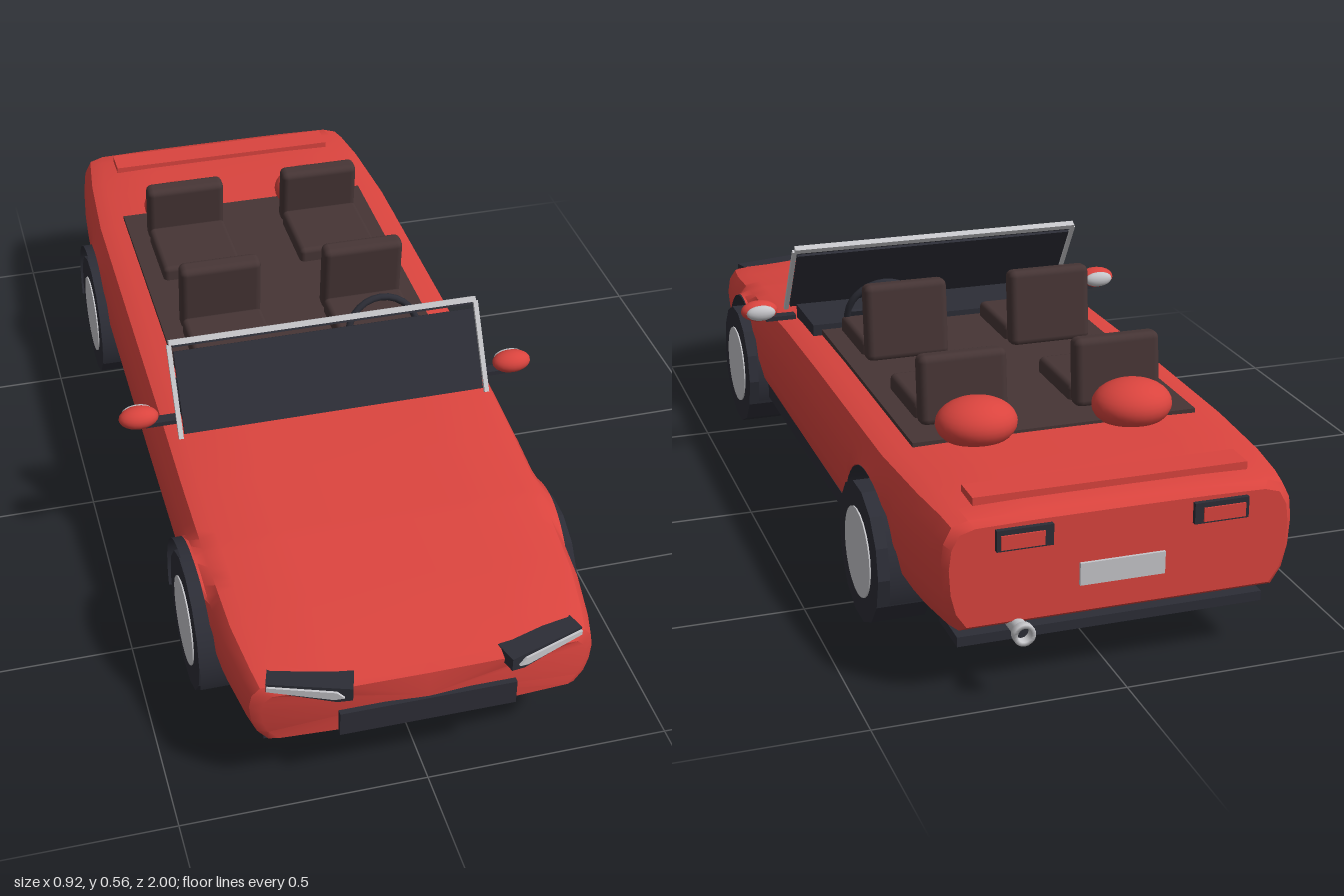
import * as THREE from 'three';
import { toCreasedNormals } from 'three/addons/utils/BufferGeometryUtils.js';
import { RoundedBoxGeometry } from 'three/addons/geometries/RoundedBoxGeometry.js';

const material = (name, color, side = THREE.FrontSide) => {
  const m = new THREE.MeshStandardMaterial({ color, side });
  m.name = name;
  return m;
};
const red = material('red paint', 0xda443e);
const dark = material('dark trim', 0x2c2d36, THREE.DoubleSide);
const brown = material('brown leather', 0x463535);
const silver = material('silver', 0xc6c6ca);

const AXLES = [0.59, -0.56], AXLE_Y = 0.15, ARCH_R = 0.17;

// Body stations: z, half width, top, bottom
const STATIONS = [
  [0.98, 0.325, 0.272, 0.155], [0.967, 0.345, 0.287, 0.145], [0.9, 0.355, 0.3, 0.14],
  [0.8, 0.37, 0.317, 0.135], [0.6, 0.38, 0.343, 0.13], [0.4, 0.384, 0.36, 0.13],
  [0.2, 0.385, 0.374, 0.13], [-0.1, 0.385, 0.38, 0.13], [-0.6, 0.383, 0.38, 0.13],
  [-0.8, 0.37, 0.38, 0.135], [-0.9, 0.357, 0.377, 0.14], [-0.945, 0.35, 0.37, 0.148],
  [-0.958, 0.338, 0.357, 0.158],
];
// Half section from top centre to bottom centre: width and height fractions
const SECTION = [[0, 1], [0.5, 0.998], [0.85, 0.985], [0.94, 0.94], [0.985, 0.8],
  [1, 0.6], [0.99, 0.35], [0.96, 0.15], [0.9, 0], [0, 0]];

function stationAt(z) {
  let i = 0;
  while (i < STATIONS.length - 2 && z < STATIONS[i + 1][0]) i++;
  const a = STATIONS[i], b = STATIONS[i + 1], k = (z - a[0]) / (b[0] - a[0]);
  return a.map((v, n) => v + (b[n] - v) * k);
}

function archHeight(z) {
  for (const c of AXLES) {
    const d = Math.abs(z - c);
    if (d <= ARCH_R + 1e-6) return AXLE_Y + Math.sqrt(Math.max(0, ARCH_R ** 2 - d * d));
  }
  return 0;
}

// Lofted shell whose underside follows the wheel arches
function bodyGeometry() {
  const zs = STATIONS.map(s => s[0]);
  for (const c of AXLES) {
    for (let i = 0; i <= 20; i++) zs.push(c + ARCH_R * Math.cos(i * Math.PI / 20));
    zs.push(c + ARCH_R + 0.0005, c - ARCH_R - 0.0005);
  }
  zs.sort((a, b) => b - a);
  const rows = zs.map(stationAt);
  rows.unshift([0.98, 0, 0.215, 0.215]);
  rows.push([-0.958, 0, 0.25, 0.25]);
  const ring = [...SECTION, ...SECTION.slice(1, -1).reverse().map(([u, v]) => [-u, v])];
  const n = ring.length, pos = [], paint = [], under = [];
  for (const [z, w, t, b] of rows) {
    const nose = Math.max(0, (z - 0.9) / 0.08) * 0.03;
    for (const [u, v] of ring) {
      const x = u * w;
      pos.push(x, Math.max(b + (t - b) * v, archHeight(z)), z - nose * (x / 0.345) ** 4);
    }
  }
  for (let i = 0; i < rows.length - 1; i++) {
    const inside = rows[i][0] < 0.77 && rows[i + 1][0] > -0.74;
    for (let j = 0; j < n; j++) {
      const k = (j + 1) % n, a = i * n + j, b = i * n + k;
      const list = inside && (j === 8 || j === 9) ? under : paint;
      list.push(a, b, a + n, b, b + n, a + n);
    }
  }
  const g = new THREE.BufferGeometry();
  g.setAttribute('position', new THREE.Float32BufferAttribute(pos, 3));
  g.setIndex([...paint, ...under]);
  g.addGroup(0, paint.length, 0);
  g.addGroup(paint.length, under.length, 1);
  return toCreasedNormals(g, 0.65);
}

export function createModel() {
  const car = new THREE.Group();
  car.name = 'convertibleCar';
  const add = (name, geo, mat, x = 0, y = 0, z = 0, parent = car) => {
    const m = new THREE.Mesh(geo, mat);
    m.name = name;
    m.position.set(x, y, z);
    parent.add(m);
    return m;
  };
  const box = (w, h, d) => new THREE.BoxGeometry(w, h, d);
  const axial = (r, len, sides) => new THREE.CylinderGeometry(r, r, len, sides).rotateZ(Math.PI / 2);

  add('body', bodyGeometry(), [red, dark]);
  add('floorPan', box(0.72, 0.035, 0.8), dark, 0, 0.1325, 0.015);
  add('frontLip', box(0.62, 0.012, 0.09), dark, 0, 0.109, 0.865);
  add('rearLip', box(0.62, 0.02, 0.11), dark, 0, 0.11, -0.865);
  add('tailSpoiler', box(0.55, 0.02, 0.065), red, 0, 0.38, -0.87);

  // Wheels and arch liners
  for (const z of AXLES) {
    const liner = new THREE.CylinderGeometry(0.168, 0.168, 0.785, 28, 1, true, -1.86, 3.72);
    liner.rotateX(-Math.PI / 2).rotateY(Math.PI / 2);
    add('archLiner', liner, dark, -0.01, AXLE_Y, z);
    for (const s of [-1, 1]) {
      add('tyre', toCreasedNormals(axial(0.145, 0.11, 14), 0.3), dark, s * 0.345, 0.146, z);
      add('hub', axial(0.093, 0.116, 24), silver, s * 0.345, 0.146, z);
    }
  }

  // Cockpit
  add('cockpitFloor', box(0.6, 0.02, 0.73), brown, 0, 0.376, -0.245);
  add('dashboard', box(0.64, 0.035, 0.16), dark, 0, 0.381, 0.18);
  for (const s of [-1, 1]) {
    for (const [z, h] of [[0, 0.17], [-0.395, 0.145]]) {
      const seat = new THREE.Group();
      seat.name = 'seat';
      seat.position.set(s * 0.165, 0.38, z);
      car.add(seat);
      add('seatCushion', new RoundedBoxGeometry(0.185, 0.05, 0.19, 2, 0.012), brown, 0, 0.014, 0, seat);
      const back = add('seatBack', new RoundedBoxGeometry(0.185, h, 0.045, 2, 0.015), brown, 0, h / 2, -0.109, seat);
      back.rotation.x = 0.1;
    }
    const dome = add('deckFairing', new THREE.SphereGeometry(1, 28, 16), red, s * 0.165, 0.41, -0.597);
    dome.scale.set(0.083, 0.05, 0.072);
  }
  const wheel = new THREE.Group();
  wheel.name = 'steeringWheel';
  wheel.position.set(0.165, 0.425, 0.08);
  wheel.rotation.x = -0.35;
  car.add(wheel);
  add('steeringRim', new THREE.TorusGeometry(0.08, 0.008, 8, 28), dark, 0, 0, 0, wheel);
  add('steeringSpoke', box(0.15, 0.015, 0.008), dark, 0, 0, 0, wheel);

  // Windscreen
  const screen = new THREE.Group();
  screen.name = 'windscreen';
  screen.position.set(0, 0.465, 0.24);
  screen.rotation.x = -0.56;
  car.add(screen);
  add('screenGlass', box(0.66, 0.175, 0.008), dark, 0, -0.003, 0, screen);
  add('screenTopRail', box(0.676, 0.012, 0.014), silver, 0, 0.104, 0, screen);
  add('screenSeal', box(0.66, 0.005, 0.01), dark, 0, 0.096, 0, screen);

  for (const s of [-1, 1]) {
    add('screenPillar', box(0.01, 0.2, 0.008), silver, s * 0.338, 0, 0, screen);

    // Door mirrors
    add('mirrorStalk', box(0.07, 0.01, 0.025), dark, s * 0.368, 0.384, 0.225);
    const shell = add('mirrorShell', new THREE.SphereGeometry(1, 20, 12), red, s * 0.416, 0.403, 0.227);
    shell.scale.set(0.043, 0.024, 0.028);
    const face = add('mirrorGlass', new THREE.SphereGeometry(1, 20, 8), silver, s * 0.416, 0.403, 0.208);
    face.scale.set(0.034, 0.018, 0.014);

    // Headlights, tapering outwards
    const lamp = new THREE.Group();
    lamp.name = 'headlight';
    lamp.position.set(s * 0.235, 0.277, 0.965);
    lamp.rotation.y = s * 0.3;
    car.add(lamp);
    const wedge = (pts, depth) => new THREE.ExtrudeGeometry(
      new THREE.Shape(pts.map(([x, y]) => new THREE.Vector2(s * x, y))), { depth, bevelEnabled: false });
    add('headlightHousing', wedge([[-0.085, 0.012], [0.08, 0.016], [0.08, -0.003], [-0.055, -0.023], [-0.085, -0.017]], 0.05),
      dark, 0, 0, -0.037, lamp);
    add('headlightLens', wedge([[-0.055, 0.005], [0.078, 0.011], [0.078, 0.001], [-0.05, -0.013], [-0.07, -0.008]], 0.006),
      silver, 0, 0, 0.012, lamp);

    // Tail lights
    add('tailLightFrame', box(0.11, 0.042, 0.03), dark, s * 0.195, 0.327, -0.953);
    add('tailLight', box(0.085, 0.028, 0.008), red, s * 0.2, 0.324, -0.967);
  }

  // Plates and exhaust
  add('frontPlate', box(0.355, 0.055, 0.012), dark, 0, 0.183, 0.98);
  add('rearPlate', box(0.17, 0.045, 0.008), silver, 0, 0.235, -0.96);
  const pipe = new THREE.LatheGeometry([[0.016, -0.06], [0.016, 0.03], [0.022, 0.035], [0.022, 0.05], [0.014, 0.05], [0.012, 0.01]]
    .map(p => new THREE.Vector2(...p)), 18).rotateX(-Math.PI / 2);
  add('exhaustPipe', pipe, silver, 0.205, 0.146, -0.948);
  add('exhaustBore', new THREE.CircleGeometry(0.014, 18).rotateY(Math.PI), dark, 0.205, 0.146, -0.98);
  return car;
}
